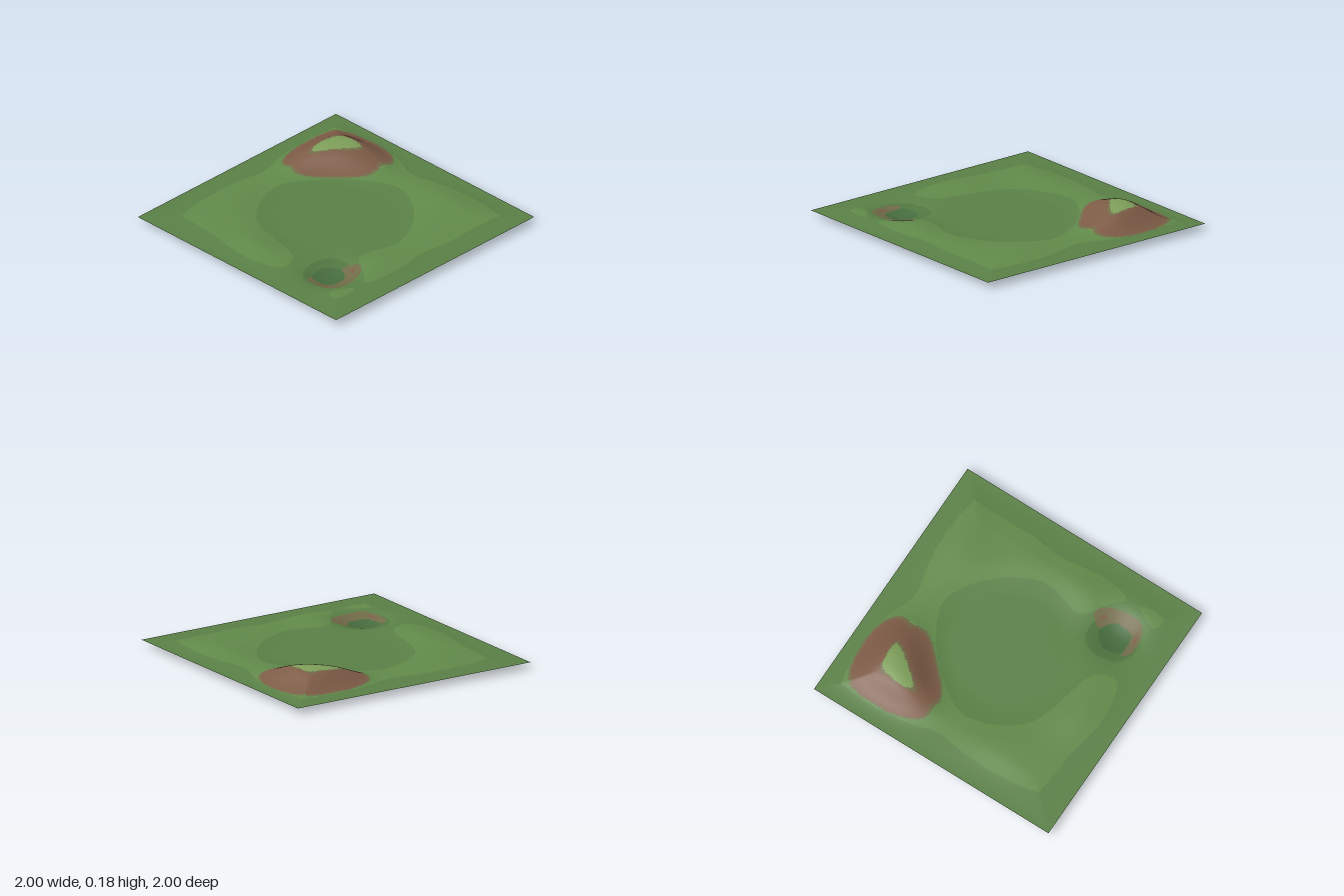
import * as THREE from 'three';
import { mergeVertices } from 'three/addons/utils/BufferGeometryUtils.js';

const BASE = 0.045; // level of the border and the central clearing
const smooth = THREE.MathUtils.smoothstep;

const bell = (x, z, cx, cz, sx, sz = sx) =>
  Math.exp(-((x - cx) ** 2) / (2 * sx * sx) - ((z - cz) ** 2) / (2 * sz * sz));

// Low swells around the clearing: x, z, height, radius
const swells = [
  [-0.72, -0.12, 0.018, 0.17], [-0.33, 0.62, 0.022, 0.16], [0.7, 0.5, 0.024, 0.18],
  [-0.4, -0.66, 0.016, 0.16], [0.25, 0.72, 0.008, 0.14], [-0.72, 0.72, 0.012, 0.12],
];

function height(x, z) {
  // Square fade towards the border, round fade towards the clearing
  const border = 1 - smooth(Math.max(Math.abs(x), Math.abs(z)), 0.67, 0.98);
  const clearing = smooth(Math.hypot(x, z), 0.4, 0.72);
  let h = 0.016 + 0.003 * Math.sin(9 * x + 4 * z) * Math.cos(8 * z - 3 * x);
  for (const [cx, cz, a, r] of swells) h += a * bell(x, z, cx, cz, r);
  // Hill with a western ridge and a south-eastern spur
  h += 0.112 * bell(x, z, 0.61, -0.56, 0.2, 0.19);
  h += 0.03 * bell(x, z, 0.37, -0.66, 0.13, 0.1);
  h += 0.025 * bell(x, z, 0.74, -0.4, 0.11, 0.12);
  // Hollow sinking to ground zero
  const hollow = bell(x, z, -0.58, 0.52, 0.155, 0.14) * border;
  return (BASE + h * border * clearing) * (1 - hollow);
}

function slope(x, z) {
  const e = 0.01;
  return Math.hypot(height(x + e, z) - height(x - e, z), height(x, z + e) - height(x, z - e)) / (2 * e);
}

// Surface colours, chosen by steepness first and then by height
const bands = {
  rock: 0x7d5b46,
  rockFringe: 0x716b48,
  hollowFloor: 0x466c3e,
  hollowSlope: 0x507640,
  lowGrass: 0x5a8046,
  grass: 0x618a4a,
  highGrass: 0x6c924f,
  hilltopGrass: 0x7d9e59,
};

function bandAt(x, z) {
  const s = slope(x, z), h = height(x, z);
  if (s > 0.33) return 'rock';
  if (s > 0.28) return 'rockFringe';
  if (h < 0.02) return 'hollowFloor';
  if (h < 0.038) return 'hollowSlope';
  if (h < 0.056) return 'lowGrass';
  if (h < 0.085) return 'grass';
  return h < 0.125 ? 'highGrass' : 'hilltopGrass';
}

export function createModel() {
  const group = new THREE.Group();
  group.name = 'terrain';

  // Displaced sheet with smooth normals
  const sheet = new THREE.PlaneGeometry(2, 2, 150, 150).rotateX(-Math.PI / 2);
  const p = sheet.attributes.position;
  for (let i = 0; i < p.count; i++) p.setY(i, height(p.getX(i), p.getZ(i)));
  sheet.computeVertexNormals();

  // Sort the triangles into bands; normals are kept so the seams stay smooth
  const flat = sheet.toNonIndexed();
  const pos = flat.attributes.position.array, nor = flat.attributes.normal.array;
  const parts = {};
  for (let i = 0; i < pos.length; i += 9) {
    const x = (pos[i] + pos[i + 3] + pos[i + 6]) / 3;
    const z = (pos[i + 2] + pos[i + 5] + pos[i + 8]) / 3;
    const part = (parts[bandAt(x, z)] ??= { position: [], normal: [] });
    part.position.push(...pos.subarray(i, i + 9));
    part.normal.push(...nor.subarray(i, i + 9));
  }

  for (const [name, part] of Object.entries(parts)) {
    const g = new THREE.BufferGeometry();
    for (const key of ['position', 'normal']) g.setAttribute(key, new THREE.Float32BufferAttribute(part[key], 3));
    const mesh = new THREE.Mesh(
      mergeVertices(g),
      new THREE.MeshStandardMaterial({ color: bands[name], side: THREE.DoubleSide })
    );
    mesh.name = name;
    group.add(mesh);
  }
  return group;
}
